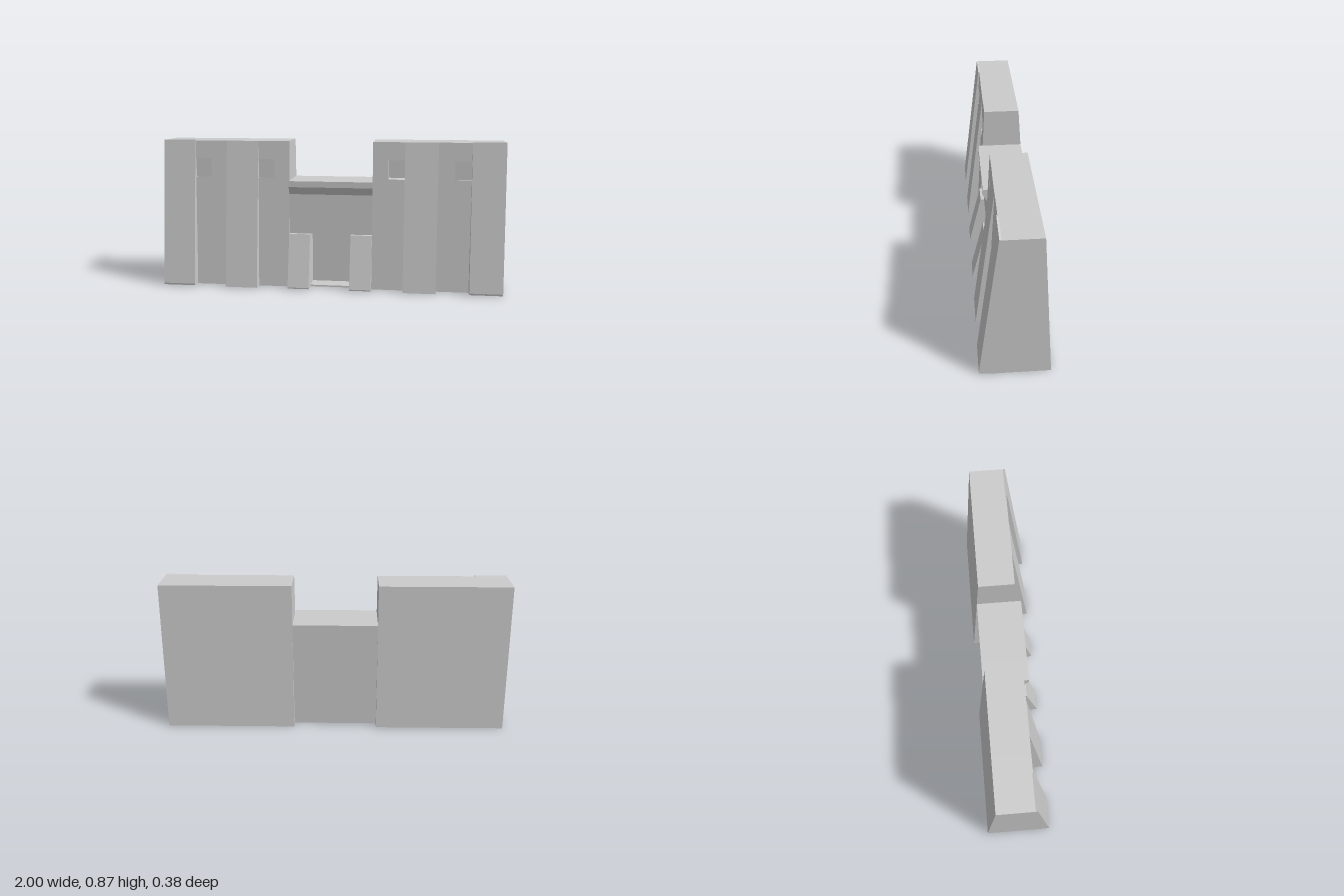
import * as THREE from 'three';

const H = 0.865;

// Extrudes a [z, y] side profile across x from x0 to x1.
function prism(name, profile, x0, x1) {
  const shape = new THREE.Shape(profile.map(([z, y]) => new THREE.Vector2(z, y)));
  const geo = new THREE.ExtrudeGeometry(shape, { depth: x1 - x0, bevelEnabled: false });
  geo.rotateY(-Math.PI / 2);
  geo.translate(x1, 0, 0);
  const mat = new THREE.MeshStandardMaterial({ color: 0xcccccc, flatShading: true, side: THREE.DoubleSide });
  const mesh = new THREE.Mesh(geo, mat);
  mesh.name = name;
  return mesh;
}

// Same prism, on the left (+1) or right (-1) half of the model.
const sided = (name, profile, a, b, s) =>
  s > 0 ? prism(name, profile, a, b) : prism(name, profile, -b, -a);

// Battered front wall: depth at a given height.
const wallZ = (y) => 0.122 - 0.047 * (y / H);

// Tower side profile, with an optional window niche cut into the front.
function towerProfile(nicheDepth = 0) {
  const pts = [[-0.188, 0], [wallZ(0), 0]];
  if (nicheDepth) {
    const back = wallZ(0.76) - nicheDepth;
    pts.push([wallZ(0.65), 0.65], [back, 0.65], [back, 0.76], [wallZ(0.76), 0.76]);
  }
  pts.push([wallZ(H), H], [-0.13, H]);
  return pts;
}

function createTower(s) {
  const tower = new THREE.Group();
  tower.name = s > 0 ? 'leftTower' : 'rightTower';

  // Wall in vertical bands, two of which hold windows
  const innerDepth = s > 0 ? 0.08 : 0.006;
  const bands = [
    [0.245, 0.335, 0], [0.335, 0.43, innerDepth], [0.43, 0.715, 0],
    [0.715, 0.81, 0.006], [0.81, 1, 0],
  ];
  for (const [a, b, niche] of bands) {
    tower.add(sided(niche ? 'windowBay' : 'towerWall', towerProfile(niche), a, b, s));
  }

  // Tapering pilasters
  tower.add(sided('middlePilaster', [[0.1, 0], [0.185, 0.003], [0.076, H], [0.07, H]], 0.43, 0.62, s));
  tower.add(sided('cornerPilaster',
    [[0.1, 0], [0.13, 0], [0.185, 0.005], [0.187, 0.015], [0.081, 0.869], [0.07, H]], 0.81, 1, s));
  return tower;
}

function createGate() {
  const gate = new THREE.Group();
  gate.name = 'gate';

  // Wall with an overhanging cornice; the middle band holds the doorway
  const top = [[0.09, 0.555], [0.115, 0.6], [0.115, 0.635], [-0.145, 0.635]];
  const solid = [[-0.145, 0.003], [0.09, 0.003], ...top];
  const doorway = [[-0.145, 0.003], [0.11, 0.003], [0.11, 0.012], [0.01, 0.012],
    [0.01, 0.32], [0.09, 0.32], ...top];
  gate.add(prism('doorwayWall', doorway, -0.12, 0.12));

  for (const s of [1, -1]) {
    gate.add(sided('gateWall', solid, 0.12, 0.245, s));
    // Sloping buttress beside the door
    gate.add(sided('gateButtress',
      [[0.06, 0.005], [0.184, 0.005], [0.185, 0.012], [0.112, 0.32], [0.06, 0.32]], 0.12, 0.245, s));
  }
  return gate;
}

export function createModel() {
  const model = new THREE.Group();
  model.name = 'gatehouse';
  model.add(createTower(1), createTower(-1), createGate());
  return model;
}
